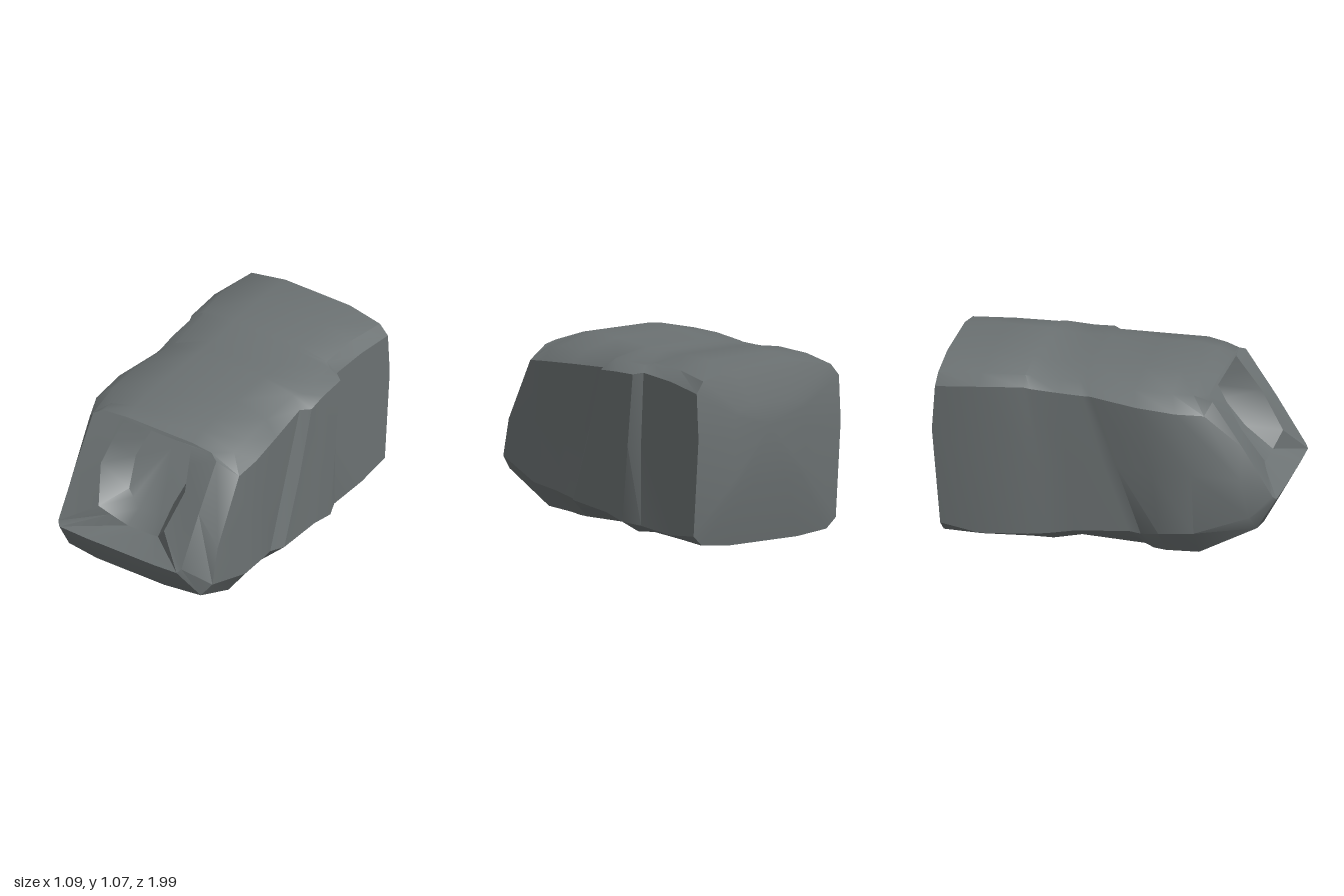
import * as THREE from 'three';
import { toCreasedNormals } from 'three/addons/utils/BufferGeometryUtils.js';

const stone = new THREE.MeshStandardMaterial({ color: 0x6c7273 });
stone.name = 'grey stone';

// Cross-sections from the slanted front face to the back:
// left, right, y (bottom, low, mid, high, top), z (bottom, mid, top), chamfer (low, high)
const SECTIONS = [
  [-0.44, 0.40, 0.39, 0.42, 0.70, 0.96, 1.00, 0.99, 0.80, 0.60, 0.02, 0.05],
  [-0.49, 0.53, 0.19, 0.30, 0.52, 0.89, 1.03, 0.88, 0.80, 0.51, 0.06, 0.09],
  [-0.55, 0.54, 0.00, 0.20, 0.55, 0.91, 1.05, 0.55, 0.53, 0.40, 0.11, 0.09],
  [-0.55, 0.52, 0.00, 0.18, 0.55, 0.93, 1.05, 0.36, 0.30, 0.18, 0.11, 0.09],
  [-0.49, 0.49, 0.00, 0.15, 0.55, 0.95, 1.045, 0.28, 0.08, -0.10, 0.09, 0.07],
  [-0.49, 0.54, 0.00, 0.16, 0.55, 0.95, 1.045, 0.22, 0.01, -0.14, 0.14, 0.08],
  [-0.50, 0.53, 0.04, 0.14, 0.55, 0.96, 1.04, -0.14, -0.20, -0.25, 0.14, 0.08],
  [-0.50, 0.53, 0.015, 0.11, 0.55, 0.97, 1.05, -0.30, -0.36, -0.42, 0.12, 0.08],
  [-0.51, 0.48, 0.04, 0.10, 0.55, 0.98, 1.06, -0.42, -0.42, -0.45, 0.09, 0.07],
  [-0.53, 0.475, 0.045, 0.09, 0.55, 0.97, 1.065, -0.70, -0.70, -0.70, 0.08, 0.07],
  [-0.50, 0.475, 0.04, 0.12, 0.68, 0.94, 1.05, -0.92, -0.975, -0.95, 0.06, 0.05],
];

// Fourteen points, counter-clockwise from the bottom when seen from the front
function sectionRing([l, r, yb, yl, ym, yh, yt, zb, zm, zt, cl, ch]) {
  const zl = zb + (zm - zb) * ((yl - yb) / (ym - yb));
  const zh = zt + (zm - zt) * ((yt - yh) / (yt - ym));
  const lowCorner = yb + (yl - yb) * 0.25;
  const highCorner = yt - (yt - yh) * 0.4;
  return [
    [0.22, yb, zb], [r - cl, lowCorner, zb], [r, yl, zl], [r, ym, zm], [r, yh, zh],
    [r - ch, highCorner, zt], [0.22, yt, zt], [-0.22, yt, zt], [l + ch, highCorner, zt],
    [l, yh, zh], [l, ym, zm], [l, yl, zl], [l + cl, lowCorner, zb], [-0.24, yb, zb],
  ];
}

// Opening of the front hollow, lying on the slanted face
const RIM = [
  [0.10, 0.46], [0.15, 0.47], [0.22, 0.56], [0.27, 0.77], [0.24, 0.90], [0.22, 0.985], [0.12, 0.985],
  [-0.12, 0.985], [-0.235, 0.985], [-0.27, 0.87], [-0.295, 0.75], [-0.23, 0.55], [-0.16, 0.51], [-0.06, 0.46],
];
const slopeZ = (y) => 0.99 - (y - 0.39) * 0.635;
// The lower lip is set back, leaving a ledge in front of the hollow
const rimZ = (y) => slopeZ(y) - Math.max(0, 0.56 - y) * 1.1;
const repeat = (p) => RIM.map(() => p);

// Skin a list of rings; triangles that collapse at a tip are left out
function loft(rings) {
  const pos = [];
  const same = (p, q) => p.every((v, i) => v === q[i]);
  const tri = (a, b, c) => {
    if (!same(a, b) && !same(b, c) && !same(c, a)) pos.push(...a, ...b, ...c);
  };
  for (let i = 0; i < rings.length - 1; i++) {
    const n = rings[i].length;
    for (let j = 0; j < n; j++) {
      const k = (j + 1) % n;
      const [a, b, c, d] = [rings[i][j], rings[i][k], rings[i + 1][j], rings[i + 1][k]];
      tri(a, c, b);
      tri(b, c, d);
    }
  }
  const geo = new THREE.BufferGeometry();
  geo.setAttribute('position', new THREE.Float32BufferAttribute(pos, 3));
  return toCreasedNormals(geo, 0.6);
}

function addPart(group, name, rings) {
  const mesh = new THREE.Mesh(loft(rings), stone);
  mesh.name = name;
  group.add(mesh);
}

export function createModel() {
  const group = new THREE.Group();
  group.name = 'hollowedBoulder';

  const body = SECTIONS.map(sectionRing);
  const rim = RIM.map(([x, y]) => [x, y, rimZ(y)]);
  const inner = RIM.map(([x, y]) => [x * 0.66, y + (0.68 - y) * 0.33, slopeZ(y) - 0.2]);
  // Back face: a flatter, slightly bulging middle
  const backMiddle = body[body.length - 1].map(([x, y]) => [x * 0.5, 0.68 + (y - 0.68) * 0.45, -0.993]);

  // Hollow: tip, sloping floor and ceiling, side walls
  addPart(group, 'frontHollow', [repeat([0, 0.815, 0.48]), inner, rim]);
  // Slanted face around the opening
  addPart(group, 'frontFace', [rim, body[0]]);
  // Body with the side steps, closed by the back
  addPart(group, 'boulderBody', [...body, backMiddle, repeat([0, 0.72, -1])]);

  return group;
}
